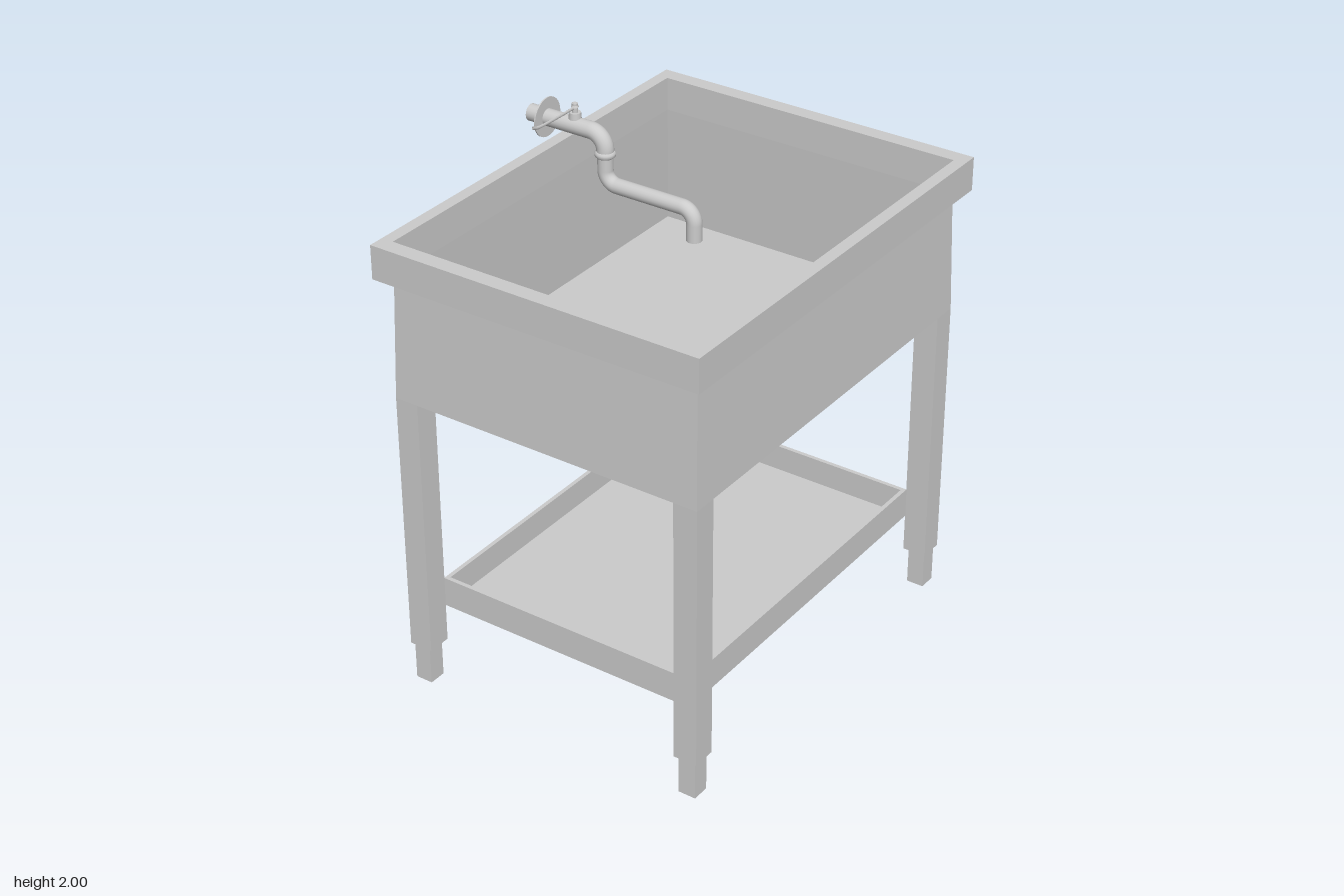
import * as THREE from 'three';

const steel = new THREE.MeshStandardMaterial({ color: 0xcccccc, side: THREE.DoubleSide });
const flat = new THREE.MeshStandardMaterial({ color: 0xcccccc, side: THREE.DoubleSide, flatShading: true });
const CX = 0.0035; // middle of the table in x

function add(parent, name, geometry, x, y, z, material = steel) {
  const mesh = new THREE.Mesh(geometry, material);
  mesh.name = name;
  mesh.position.set(x, y, z);
  parent.add(mesh);
  return mesh;
}

const box = (parent, name, w, h, d, x, y, z) =>
  add(parent, name, new THREE.BoxGeometry(w, h, d), x, y, z, flat);

// Open four-sided sleeve, w by d at the bottom, scaled by taper at the top
function sleeve(w, h, d, taper = 1) {
  const r = Math.SQRT1_2;
  return new THREE.CylinderGeometry(r * taper, r, h, 4, 1, true)
    .rotateY(Math.PI / 4).scale(w, 1, d);
}

// Path in the xy plane with circular bends; each point is [x, y, bendRadius]
function bentPath(points) {
  const path = new THREE.CurvePath();
  const p = points.map(([x, y]) => new THREE.Vector3(x, y, 0));
  const line = (a, b) => { if (a.distanceTo(b) > 1e-4) path.add(new THREE.LineCurve3(a, b)); };
  let last = p[0];
  for (let i = 1; i < p.length - 1; i++) {
    const r = points[i][2];
    const along = (to, s) => p[i].clone().add(to.clone().sub(p[i]).setLength(s));
    const a = along(p[i - 1], r), b = along(p[i + 1], r);
    line(last, a);
    path.add(new THREE.CubicBezierCurve3(a, along(p[i - 1], r * 0.448), along(p[i + 1], r * 0.448), b));
    last = b;
  }
  line(last, p[p.length - 1]);
  return path;
}

// Round pipe with closed ends
function pipe(parent, name, points, radius) {
  const path = bentPath(points);
  add(parent, name, new THREE.TubeGeometry(path, 140, radius, 20), 0, 0, 0);
  for (const t of [0, 1]) {
    const cap = add(parent, name + 'End', new THREE.CircleGeometry(radius, 20), 0, 0, 0);
    cap.position.copy(path.getPoint(t));
    const dir = path.getTangent(t).multiplyScalar(t ? 1 : -1);
    cap.quaternion.setFromUnitVectors(new THREE.Vector3(0, 0, 1), dir);
  }
}

// Ring collar around a vertical pipe with a raised middle band
function collar(parent, name, r, h, x, y) {
  const profile = [[0.6, -0.5], [0.85, -0.5], [1, -0.22], [1, 0.22], [0.85, 0.5], [0.6, 0.5]]
    .map(([a, b]) => new THREE.Vector2(a * r, b * h));
  add(parent, name, new THREE.LatheGeometry(profile, 24), x, y, 0);
}

function makeBasin() {
  const g = new THREE.Group();
  g.name = 'basin';
  // Rim frame around the opening
  const rect = (T, w, d) => new T([[-w, -d], [w, -d], [w, d], [-w, d]].map(([x, y]) => new THREE.Vector2(x, y)));
  const shape = rect(THREE.Shape, 0.649, 0.844);
  shape.holes.push(rect(THREE.Path, 0.603, 0.784));
  const rim = new THREE.ExtrudeGeometry(shape, { depth: 0.127, bevelEnabled: false }).rotateX(-Math.PI / 2);
  add(g, 'rim', rim, CX, 1.63, 0, flat);
  // Slightly tapered walls and floor
  add(g, 'basinWalls', sleeve(1.23, 0.468, 1.604, 0.982), CX, 1.401, 0, flat);
  box(g, 'basinFloor', 1.228, 0.01, 1.602, CX, 1.172, 0);
  return g;
}

function makeFrame() {
  const g = new THREE.Group();
  g.name = 'frame';
  for (const sx of [-1, 1]) for (const sz of [-1, 1]) {
    box(g, 'leg', 0.092, 1.017, 0.092, CX + sx * 0.569, 0.6585, sz * 0.756);
    add(g, 'foot', sleeve(0.067, 0.15, 0.067), CX + sx * 0.571, 0.075, sz * 0.759, flat);
  }
  // Tray shelf set between the inner leg corners
  const w = 1.048, d = 1.42, t = 0.016;
  box(g, 'shelfFloor', w, 0.014, d, CX, 0.304, 0);
  for (const s of [-1, 1]) {
    box(g, 'shelfSide', t, 0.116, d, CX + s * (w - t) / 2, 0.355, 0);
    box(g, 'shelfEnd', w - 2 * t, 0.116, t, CX, 0.355, s * (d - t) / 2);
  }
  return g;
}

function makeDrain() {
  const g = new THREE.Group();
  g.name = 'drain';
  pipe(g, 'drainPipe', [[-0.02, 1.169], [-0.02, 0.727, 0.088], [-0.196, 0.727, 0.088],
    [-0.196, 0.926, 0.085], [-0.655, 0.926]], 0.037);
  collar(g, 'upperDrainCollar', 0.062, 0.028, -0.02, 1.02);
  collar(g, 'lowerDrainCollar', 0.062, 0.028, -0.196, 0.813);
  return g;
}

function makeFaucet() {
  const g = new THREE.Group();
  g.name = 'faucet';
  pipe(g, 'inletPipe', [[-0.624, 1.915], [-0.31, 1.915, 0.06], [-0.31, 1.835]], 0.031);
  pipe(g, 'spout', [[-0.31, 1.85], [-0.31, 1.733, 0.05], [0.057, 1.733, 0.05], [0.057, 1.62]], 0.028);
  collar(g, 'spoutCollar', 0.037, 0.022, -0.31, 1.842);
  const plate = new THREE.CylinderGeometry(0.072, 0.072, 0.005, 32).rotateZ(Math.PI / 2);
  add(g, 'wallPlate', plate, -0.555, 1.915, 0);
  // Valve stem and hooked lever
  add(g, 'valveBase', new THREE.CylinderGeometry(0.021, 0.023, 0.024, 16), -0.435, 1.953, 0);
  add(g, 'valveStem', new THREE.CylinderGeometry(0.011, 0.011, 0.04, 12), -0.435, 1.978, 0);
  add(g, 'valveCap', new THREE.CylinderGeometry(0.007, 0.014, 0.016, 12), -0.435, 1.992, 0);
  const curve = new THREE.CatmullRomCurve3([[0, 1.982], [0.09, 1.982], [0.18, 1.984], [0.215, 1.988], [0.235, 1.996]]
    .map(([z, y]) => new THREE.Vector3(0, y, z)));
  add(g, 'lever', new THREE.TubeGeometry(curve, 24, 0.006, 8).scale(0.6, 1, 1), -0.435, 0, 0);
  return g;
}

export function createModel() {
  const model = new THREE.Group();
  model.name = 'utilitySink';
  model.add(makeBasin(), makeFrame(), makeDrain(), makeFaucet());
  return model;
}
